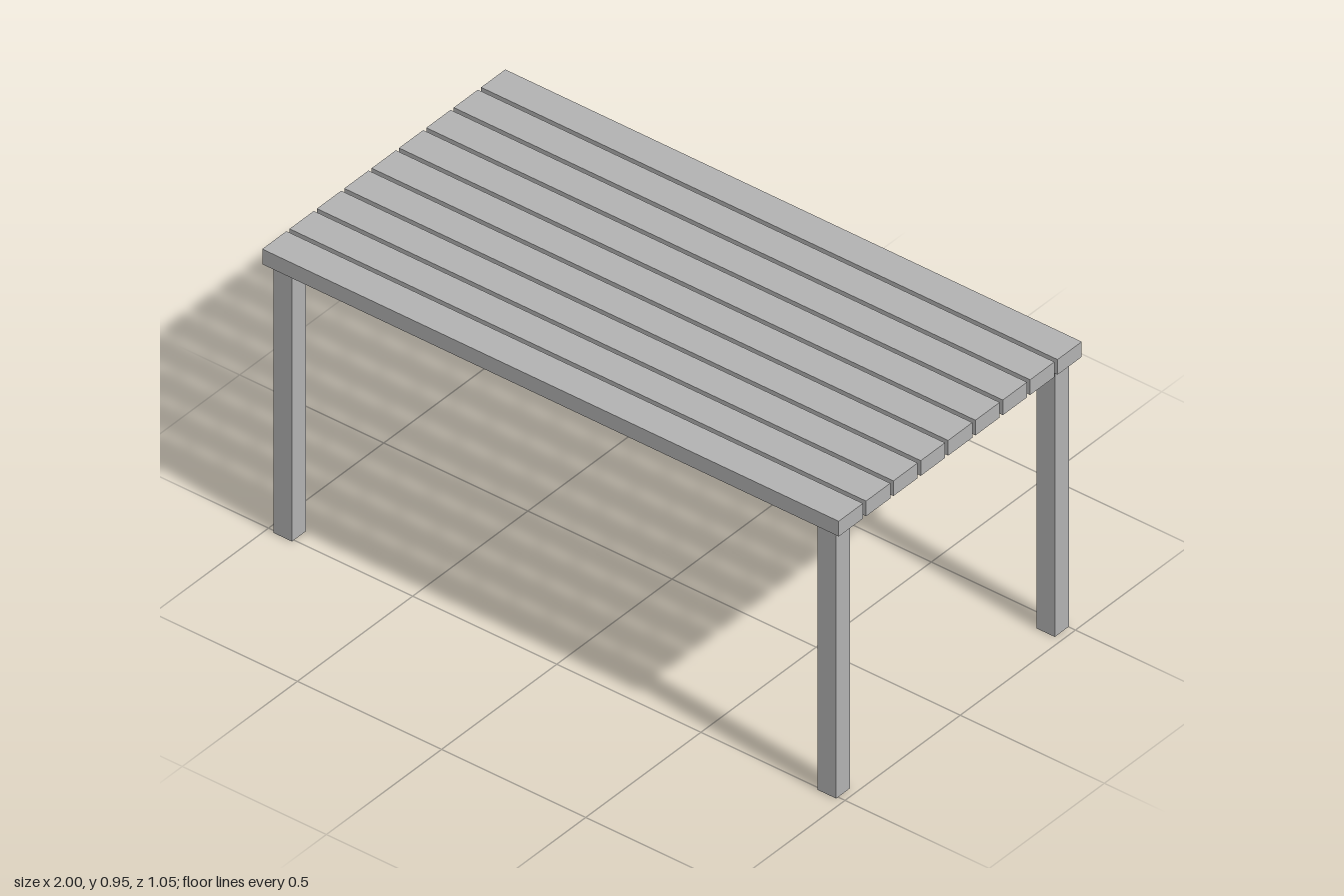
import * as THREE from 'three';

export function createModel() {
  const table = new THREE.Group();
  table.name = 'slattedTable';
  const grey = new THREE.MeshStandardMaterial({ color: 0xb2b2b2 });
  grey.name = 'plain grey';

  const addBox = (name, size, position) => {
    const mesh = new THREE.Mesh(new THREE.BoxGeometry(...size), grey);
    mesh.name = name;
    mesh.position.set(...position);
    table.add(mesh);
  };

  // Table top: nine evenly spaced planks
  const count = 9, pitch = 0.1187, plankWidth = 0.105;
  const legHeight = 0.902, plankThickness = 0.051;
  for (let i = 0; i < count; i++) {
    const z = (i - (count - 1) / 2) * pitch;
    addBox(`plank${i + 1}`, [2, plankThickness, plankWidth], [0, legHeight + plankThickness / 2, z]);
  }

  // Four square legs, the back pair set in slightly further
  for (const [end, z] of [['front', 0.478], ['back', -0.471]]) {
    for (const [side, x] of [['Left', 0.944], ['Right', -0.944]]) {
      addBox(`${end}${side}Leg`, [0.064, legHeight, 0.061], [x, legHeight / 2, z]);
    }
  }
  return table;
}
